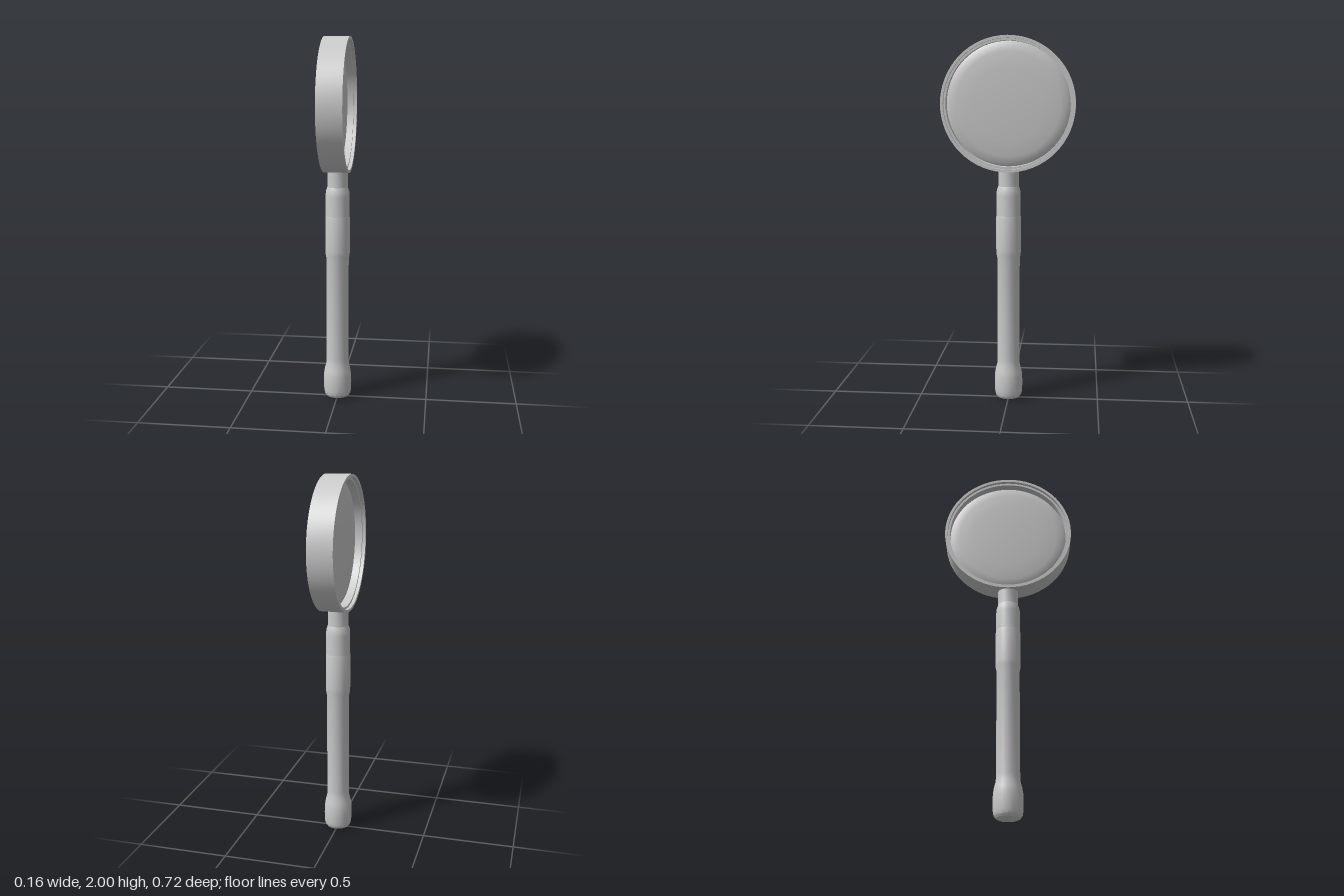
import * as THREE from 'three';
import { toCreasedNormals } from 'three/addons/utils/BufferGeometryUtils.js';

const RING_Y = 1.64;

// Revolve [radius, height] points, keeping sharp edges crisp
function turned(name, points, segments) {
  const profile = points.map(([r, y]) => new THREE.Vector2(r, y));
  const geometry = toCreasedNormals(new THREE.LatheGeometry(profile, segments), 0.55);
  const mesh = new THREE.Mesh(geometry, new THREE.MeshStandardMaterial({ color: 0xcccccc }));
  mesh.name = name;
  return mesh;
}

export function createModel() {
  const model = new THREE.Group();
  model.name = 'magnifyingGlass';

  // Handle: rounded pommel, long shaft and thicker upper grip
  model.add(turned('handle', [
    [0, 0], [0.048, 0.002], [0.064, 0.009], [0.073, 0.022], [0.077, 0.045],
    [0.078, 0.09], [0.077, 0.135], [0.072, 0.165], [0.063, 0.2],
    [0.062, 0.23], [0.062, 0.8], [0.067, 0.825], [0.068, 0.85],
    [0.068, 1.03], [0.066, 1.04], [0, 1.04],
  ], 16));

  // Ferrule and neck joining the handle to the ring
  model.add(turned('ferrule', [
    [0.066, 1.035], [0.066, 1.15], [0.064, 1.178], [0.056, 1.2], [0, 1.2],
  ], 16));
  model.add(turned('neck', [[0.056, 1.19], [0.056, 1.295]], 16));

  // Head lies on its side so that the lens faces along x
  const head = new THREE.Group();
  head.name = 'head';
  head.position.y = RING_Y;
  head.rotation.z = -Math.PI / 2;
  model.add(head);

  // Stepped rim, closed cross-section
  head.add(turned('rim', [
    [0.36, -0.068], [0.36, 0.068], [0.345, 0.068], [0.345, 0.05], [0.333, 0.05],
    [0.333, -0.05], [0.345, -0.05], [0.345, -0.068], [0.36, -0.068],
  ], 64));

  // Shallow biconvex lens
  const half = [[0, 0.03], [0.1, 0.029], [0.2, 0.026], [0.28, 0.021], [0.318, 0.014], [0.334, 0.004]];
  const lower = half.map(([r, y]) => [r, -y]);
  head.add(turned('lens', [...lower, ...half.reverse()], 48));

  return model;
}
